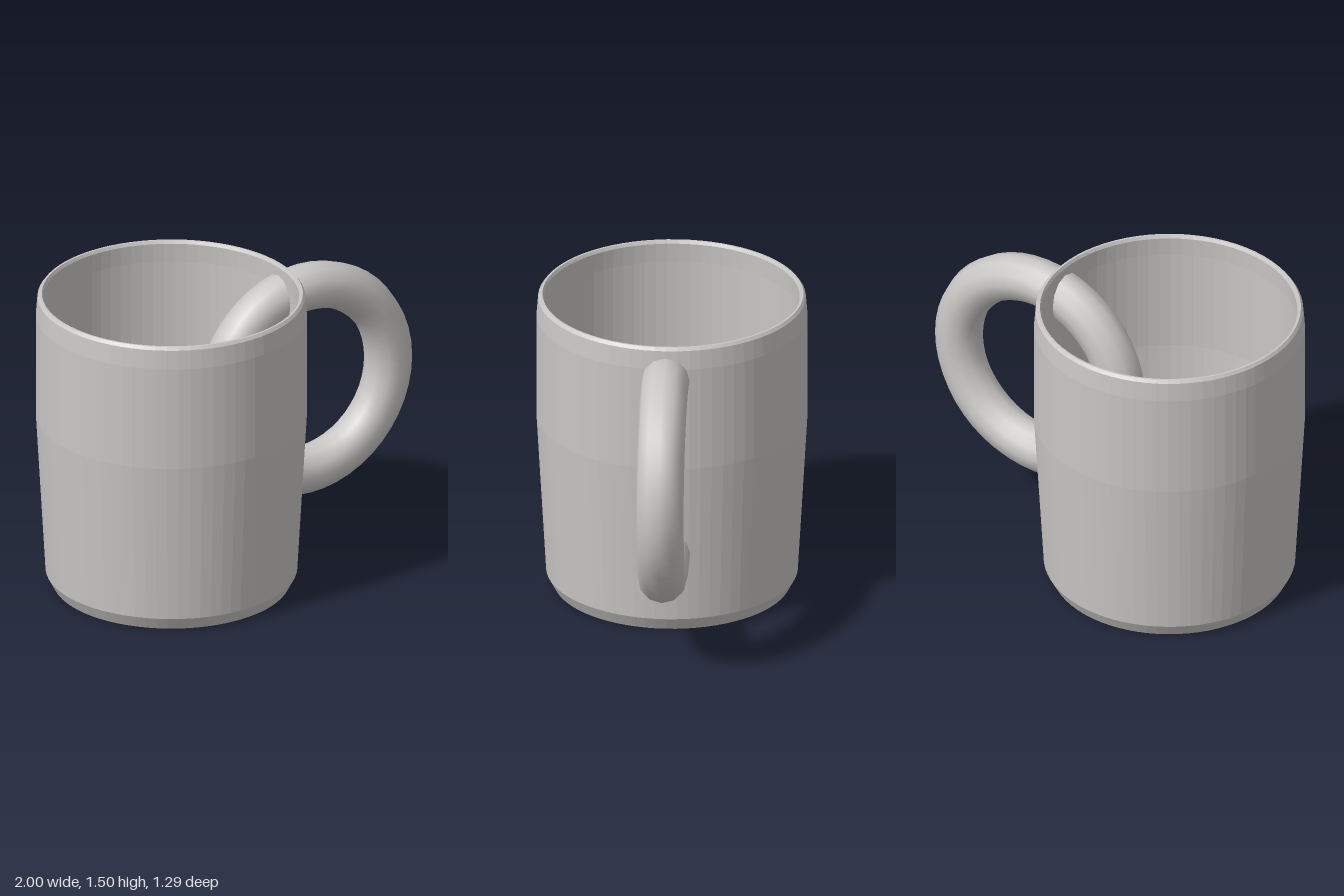
import * as THREE from 'three';

export function createModel() {
  const group = new THREE.Group();
  group.name = 'mug';
  const glaze = new THREE.MeshStandardMaterial({ color: 0xc9c7c4 });
  glaze.name = 'grey glaze';

  // Cup: up the outside, over the rim, down the inside to the floor
  const profile = [
    [0, 0], [0.567, 0], [0.601, 0.065], [0.647, 0.87], [0.647, 1.39],
    [0.639, 1.485], [0.628, 1.5], [0.618, 1.5], [0.61, 1.485],
    [0.614, 1.39], [0.614, 0.87], [0.57, 0.09], [0.56, 0.07], [0, 0.07],
  ].map(([r, y]) => new THREE.Vector2(r, y));
  const cupGeometry = new THREE.LatheGeometry(profile, 72).toNonIndexed();
  cupGeometry.computeVertexNormals(); // fine facets
  const cup = new THREE.Mesh(cupGeometry, glaze);
  cup.name = 'cup';
  cup.position.x = -0.353;
  group.add(cup);

  // Handle: a full ring running through the cup wall
  const handle = new THREE.Mesh(new THREE.TorusGeometry(0.477, 0.115, 12, 48), glaze);
  handle.name = 'handle';
  handle.position.set(0.406, 0.87, 0);
  group.add(handle);

  return group;
}
